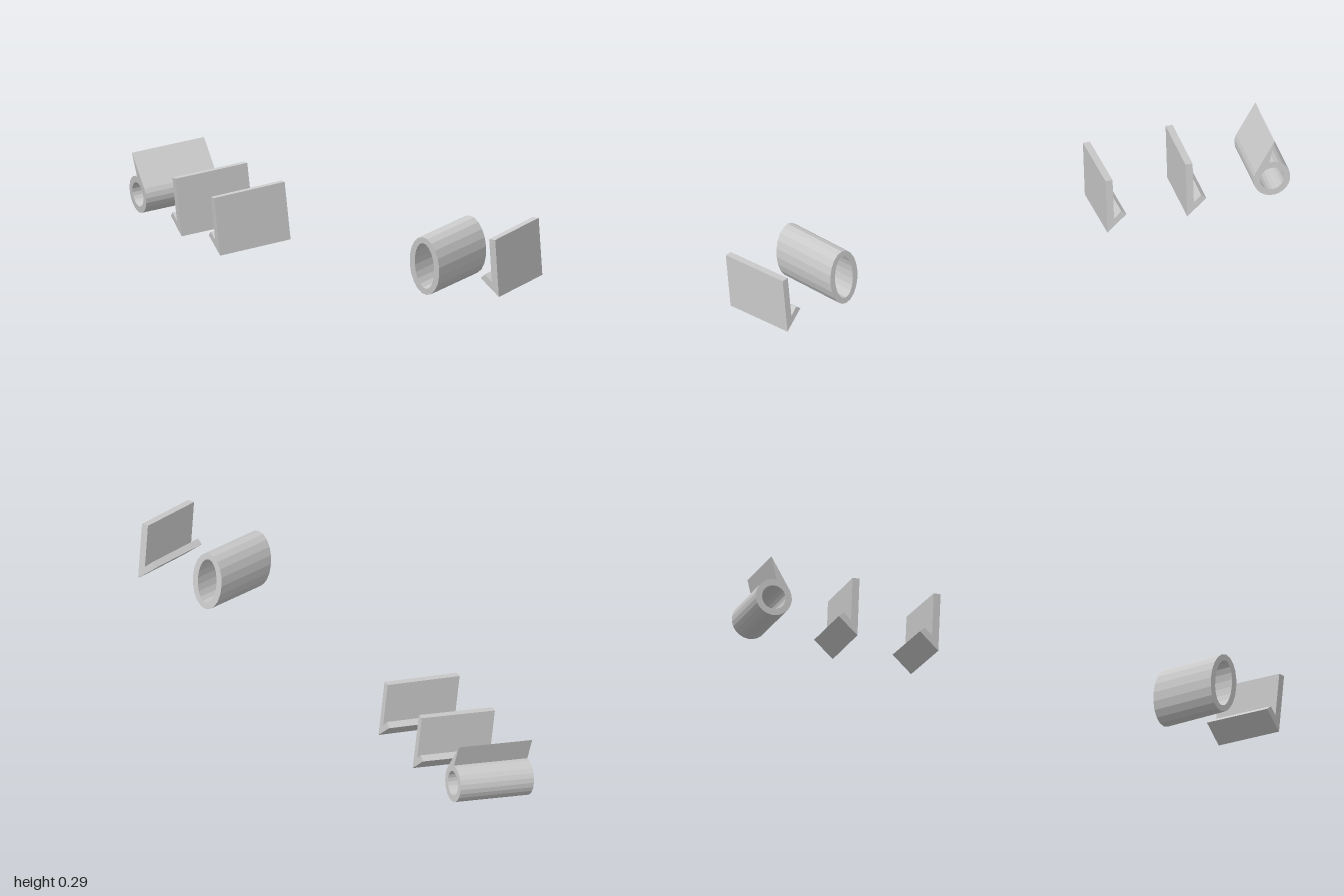
import * as THREE from 'three';

const DEPTH = 0.265;
const PITCH = THREE.MathUtils.degToRad(6.5);
const material = new THREE.MeshStandardMaterial({ color: 0xcccccc, flatShading: true });

// Angle section: upright plate with a slanted foot; origin at the lower corner
function angleProfile() {
  return new THREE.Shape([
    [0, 0], [0, 0.197], [-0.024, 0.197], [-0.024, 0.049], [-0.05, 0.073], [-0.067, 0.058],
  ].map(([x, y]) => new THREE.Vector2(x, y)));
}

// Oval tube section
function ovalProfile() {
  const shape = new THREE.Shape().absellipse(0, 0, 0.06, 0.1, 0, Math.PI * 2);
  shape.holes.push(new THREE.Path().absellipse(0, 0, 0.039, 0.079, 0, Math.PI * 2));
  return shape;
}

// Round tube section with a straight flange running off its side
function flangedProfile() {
  const r = 0.0625, rad = THREE.MathUtils.degToRad;
  const shape = new THREE.Shape();
  shape.moveTo(-0.032, 0.133);
  shape.absarc(0, 0, r, rad(83), rad(388), false);
  shape.lineTo(-0.013, 0.14);
  shape.closePath();
  shape.holes.push(new THREE.Path().absarc(0, 0, 0.041, 0, Math.PI * 2));
  return shape;
}

// Extrude a section backwards from its front face, then turn and tip it
function addPart(group, name, shape, position, yaw) {
  const geometry = new THREE.ExtrudeGeometry(shape, { depth: DEPTH, bevelEnabled: false, curveSegments: 10 });
  geometry.translate(0, 0, -DEPTH);
  const mesh = new THREE.Mesh(geometry, material);
  mesh.name = name;
  mesh.position.set(...position);
  mesh.rotation.set(PITCH, THREE.MathUtils.degToRad(yaw), 0, 'YXZ');
  group.add(mesh);
}

export function createModel() {
  const group = new THREE.Group();
  group.name = 'extrudedSections';
  addPart(group, 'flangedTube', flangedProfile(), [-0.937, 0.104, 0.055], -14);
  addPart(group, 'outerRightAngle', angleProfile(), [-0.646, 0.015, 0.108], -13.5);
  addPart(group, 'innerRightAngle', angleProfile(), [-0.371, 0.001, 0.17], -11.5);
  addPart(group, 'ovalTube', ovalProfile(), [0.718, 0.14, 0.194], 14.5);
  addPart(group, 'leftAngle', angleProfile(), [0.99, 0.066, 0.1], 17.5);
  return group;
}
